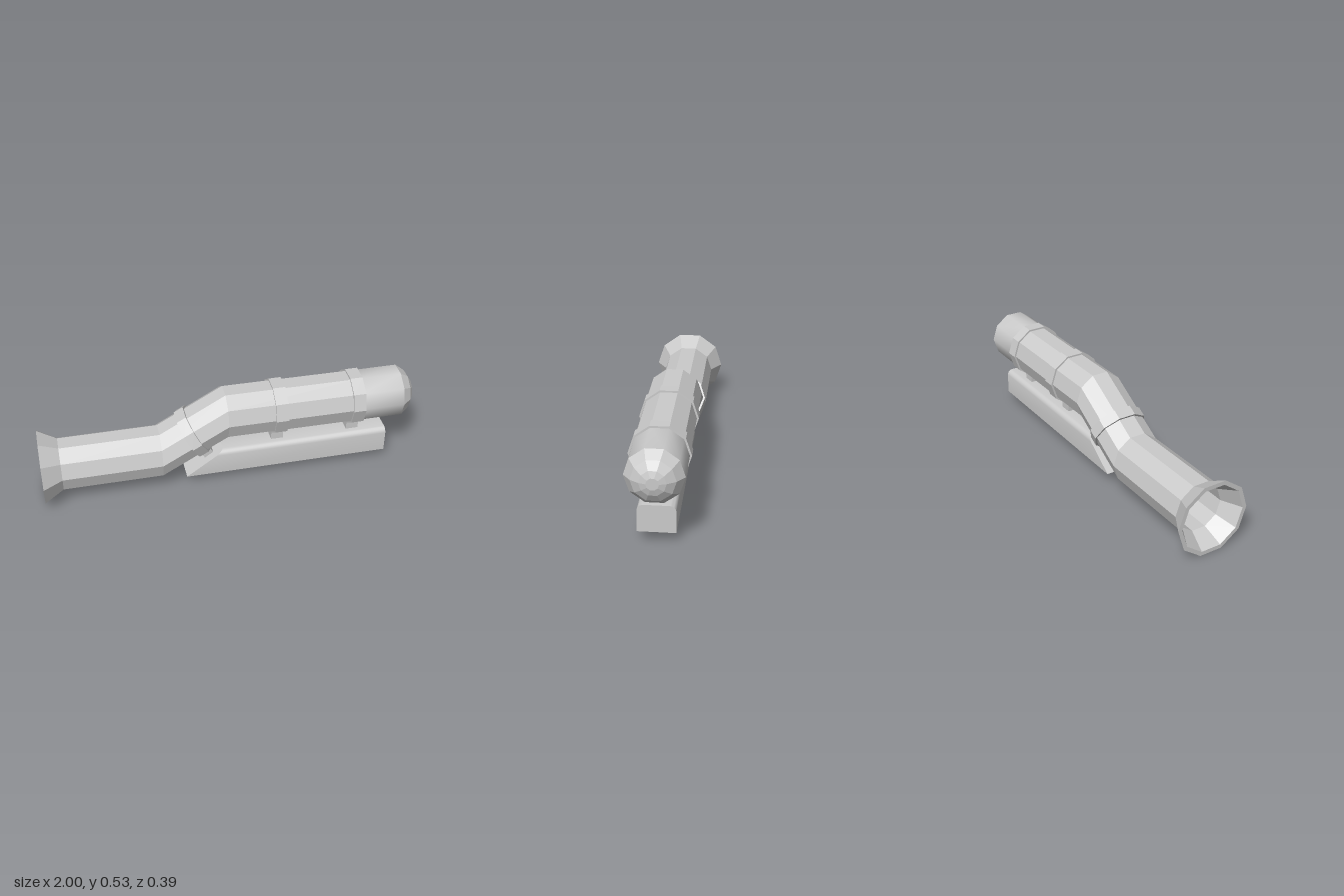
import * as THREE from 'three';
import { toCreasedNormals } from 'three/addons/utils/BufferGeometryUtils.js';

const SIDES = 10;
const material = new THREE.MeshStandardMaterial({ color: 0xcccccc });
const flatMaterial = new THREE.MeshStandardMaterial({ color: 0xcccccc, flatShading: true });

// Skin of upright ten-sided rings along x; each ring is [x, centreY, radius].
function loft(rings) {
  const pos = [], index = [];
  rings.forEach(([x, y, r], i) => {
    for (let j = 0; j < SIDES; j++) {
      const a = (j / SIDES) * Math.PI * 2;
      pos.push(x, y + r * Math.sin(a), r * Math.cos(a));
      if (i === 0) continue;
      const k = (j + 1) % SIDES, p = (i - 1) * SIDES, q = i * SIDES;
      index.push(p + j, q + j, q + k, p + j, q + k, p + k);
    }
  });
  const geo = new THREE.BufferGeometry();
  geo.setAttribute('position', new THREE.Float32BufferAttribute(pos, 3));
  geo.setIndex(index);
  geo.computeVertexNormals();
  return geo;
}

function addMesh(parent, name, geo, mat = flatMaterial) {
  const mesh = new THREE.Mesh(geo, mat);
  mesh.name = name;
  parent.add(mesh);
  return mesh;
}

// Clamp ring around the pipe with a post reaching down to the base.
function clamp(name, x, y, width, postBottom, squash = 1, tilt = 0) {
  const g = new THREE.Group();
  g.name = name;
  const w = width / 2;
  const ring = addMesh(g, 'clampRing', loft([[-w, 0, 0.12], [-w, 0, 0.15], [w, 0, 0.15], [w, 0, 0.12]]));
  ring.scale.y = squash;
  const top = -0.12 * squash;
  const post = addMesh(g, 'clampPost', new THREE.BoxGeometry(width, top - postBottom, 0.09));
  post.position.y = (top + postBottom) / 2;
  g.position.set(x, y, 0);
  g.rotation.z = tilt;
  return g;
}

// Base bar with rounded upper edges and a raked rear end.
function baseGeometry() {
  const w = 0.092, y0 = 0.058, y1 = 0.198, r = 0.028, x0 = -0.25, length = 1.1;
  const s = new THREE.Shape();
  s.moveTo(-w, y0);
  s.lineTo(w, y0);
  s.lineTo(w, y1 - r);
  s.quadraticCurveTo(w - 0.004, y1 - 0.004, w - r, y1);
  s.lineTo(-w + r, y1);
  s.quadraticCurveTo(-w + 0.004, y1 - 0.004, -w, y1 - r);
  s.closePath();
  const geo = new THREE.ExtrudeGeometry(s, { depth: length, bevelEnabled: false, curveSegments: 5 });
  geo.rotateY(Math.PI / 2);
  geo.translate(x0, 0, 0);
  const p = geo.attributes.position;
  for (let i = 0; i < p.count; i++) {
    if (p.getX(i) < x0 + 0.01) p.setX(i, x0 + (p.getY(i) - y0) * 1.42);
  }
  return toCreasedNormals(geo, 0.6);
}

export function createModel() {
  const model = new THREE.Group();
  model.name = 'pipeOnBase';

  // Hollow flared mouth, then the outer skin through both bends
  addMesh(model, 'bentPipe', loft([
    [-0.4, 0.19, 0], [-0.4, 0.19, 0.122], [-0.9, 0.19, 0.122], [-1, 0.188, 0.175],
    [-1, 0.188, 0.197], [-0.9, 0.191, 0.14], [-0.38, 0.191, 0.14],
    [-0.03, 0.388, 0.14], [0.68, 0.384, 0.14],
  ]));

  // Smooth sleeve and faceted nose
  addMesh(model, 'sleeve', loft([[0.68, 0.384, 0.14], [0.918, 0.384, 0.14]]), material);
  addMesh(model, 'nose', loft([
    [0.918, 0.384, 0.14], [0.965, 0.384, 0.104], [0.99, 0.384, 0.063], [1, 0.384, 0.03], [1, 0.384, 0],
  ]));

  // Two upright clamps and one square to the sloping section
  model.add(clamp('rearClamp', 0.252, 0.386, 0.066, -0.2));
  model.add(clamp('frontClamp', 0.671, 0.384, 0.066, -0.2));
  model.add(clamp('slopedClamp', -0.2, 0.29, 0.055, -0.2, 0.91, Math.atan2(0.197, 0.35)));

  addMesh(model, 'base', baseGeometry(), material);
  return model;
}
